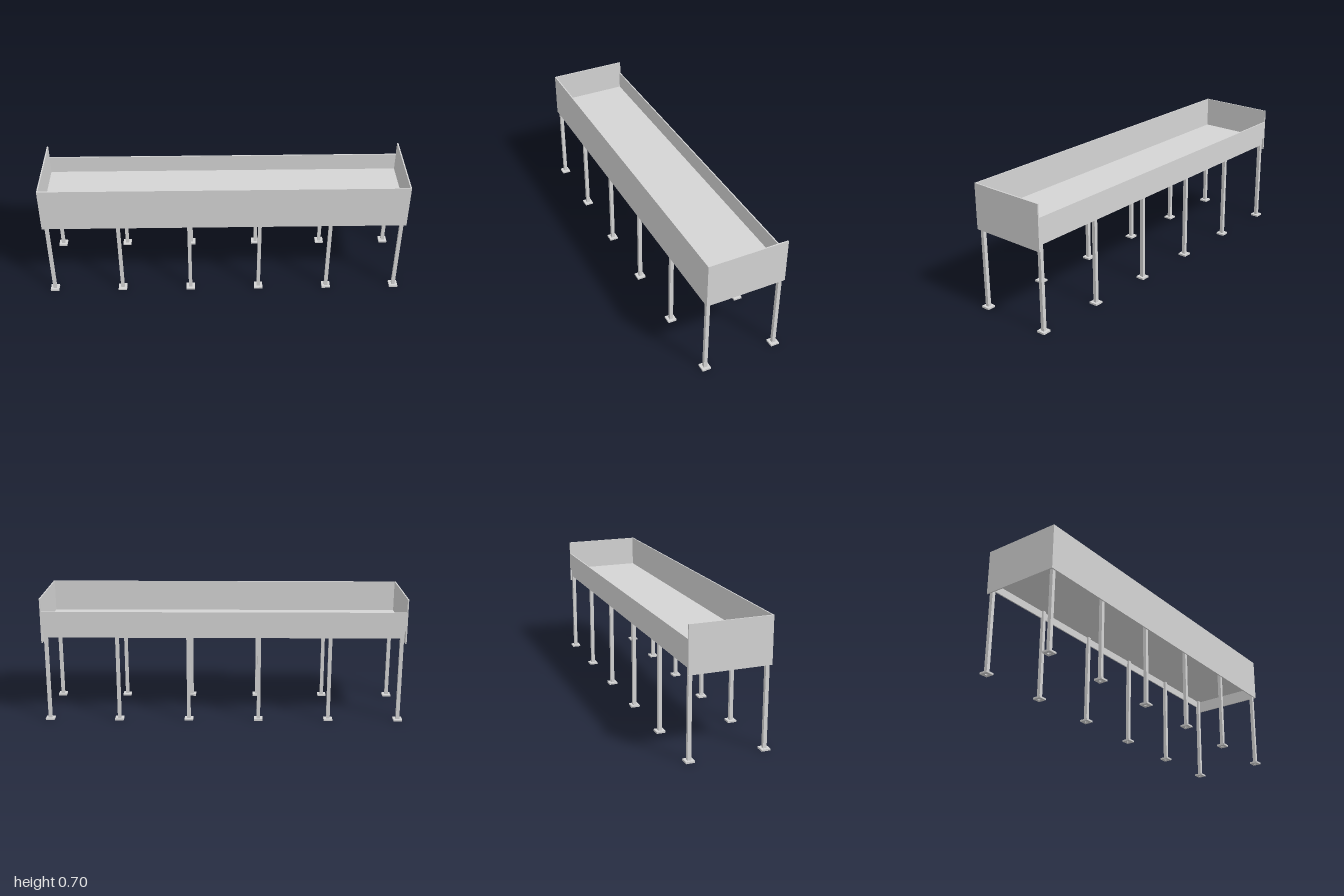
import * as THREE from 'three';

const HALF_DEPTH = 0.22;
const SHEET = 0.007;

// Square with a concentric square hole, used for tubes and foot plates
function squareRing(outer, inner) {
  const corners = (s) => [[-s, -s], [s, -s], [s, s], [-s, s]].map(([x, y]) => new THREE.Vector2(x / 2, y / 2));
  const shape = new THREE.Shape(corners(outer));
  shape.holes.push(new THREE.Path(corners(inner).reverse()));
  return shape;
}

// Upright extrusion standing on y = 0
function upright(shape, height) {
  const geometry = new THREE.ExtrudeGeometry(shape, { depth: height, bevelEnabled: false });
  geometry.rotateX(-Math.PI / 2);
  return geometry;
}

export function createModel() {
  const model = new THREE.Group();
  model.name = 'raisedTrough';
  const steel = new THREE.MeshStandardMaterial({ color: 0xd4d4d4 });
  steel.name = 'light grey steel';

  function add(name, geometry, x, y, z, parent = model) {
    const mesh = new THREE.Mesh(geometry, steel);
    mesh.name = name;
    mesh.position.set(x, y, z);
    parent.add(mesh);
  }

  // Box given by its lower and upper heights
  function panel(name, width, bottom, top, depth, x, z) {
    add(name, new THREE.BoxGeometry(width, top - bottom, depth), x, (bottom + top) / 2, z);
  }

  // Trough: deep front and end panels, lower back wall, floor
  const innerLength = 2 - 2 * SHEET;
  const wallZ = HALF_DEPTH - SHEET / 2;
  panel('frontPanel', innerLength, 0.45, 0.7, SHEET, 0, wallZ);
  panel('backWall', innerLength, 0.522, 0.627, SHEET, 0, -wallZ);
  panel('troughFloor', innerLength, 0.522, 0.528, 2 * (HALF_DEPTH - SHEET), 0, 0);
  for (const side of [-1, 1]) {
    const end = side > 0 ? 'left' : 'right';
    panel(end + 'EndPanel', SHEET, 0.45, 0.7, 2 * HALF_DEPTH, side * (1 - SHEET / 2), 0);
  }

  // Long support rails under the floor
  for (const side of [-1, 1]) {
    panel(side > 0 ? 'frontRail' : 'backRail', 1.976, 0.48, 0.522, SHEET, 0, side * (wallZ - SHEET));
  }

  // Six pairs of square tube legs with foot plates
  const tube = upright(squareRing(0.0195, 0.015), 0.522);
  const plate = upright(squareRing(0.048, 0.0195), 0.01);
  for (let i = 0; i < 6; i++) {
    for (const side of [-1, 1]) {
      const leg = new THREE.Group();
      leg.name = side > 0 ? 'frontLeg' : 'backLeg';
      leg.position.set(-0.976 + i * 0.3904, 0, side * 0.203);
      add('legTube', tube, 0, 0, 0, leg);
      add('footPlate', plate, 0, 0, 0, leg);
      model.add(leg);
    }
  }
  return model;
}
